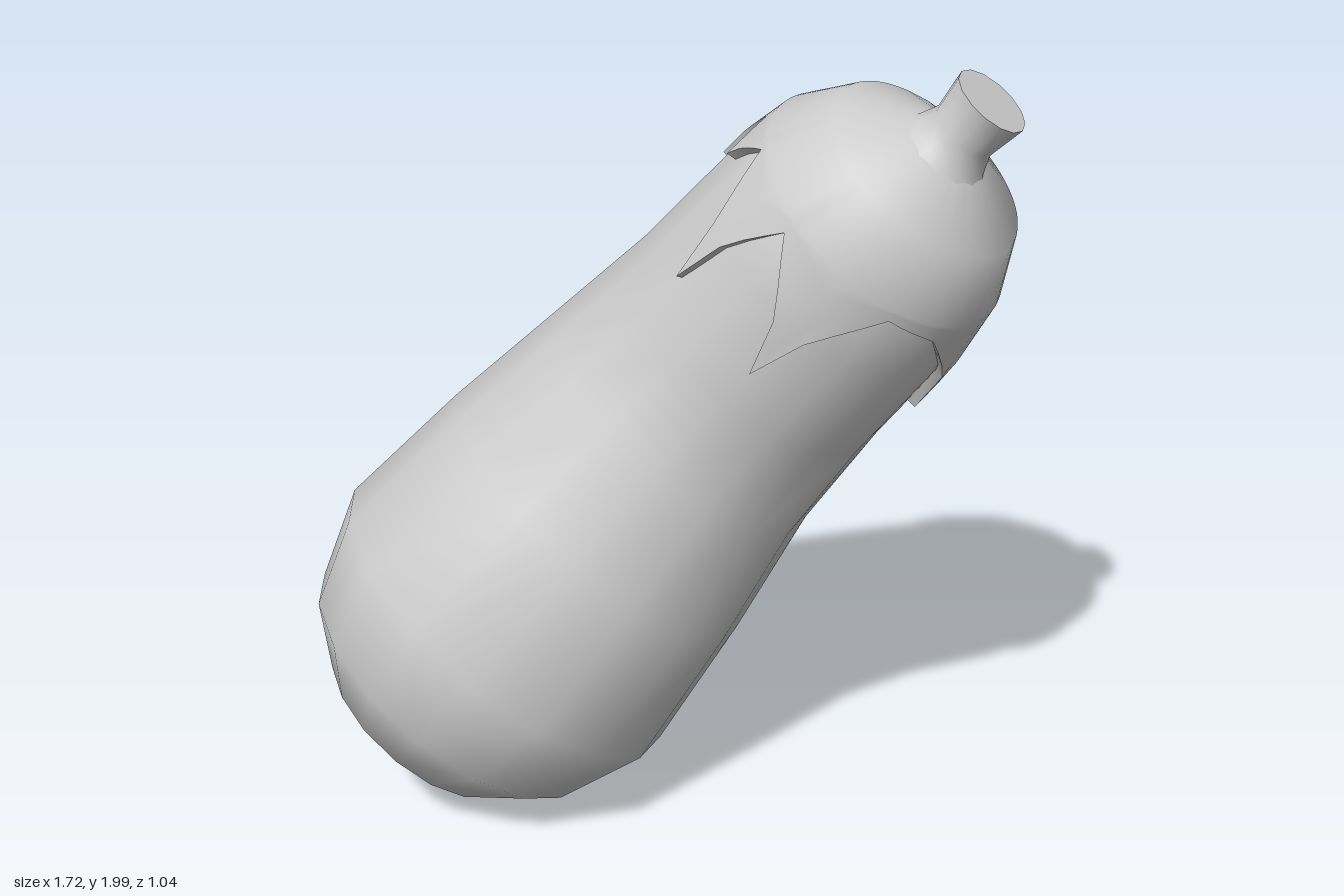
import * as THREE from 'three';
import { toCreasedNormals } from 'three/addons/utils/BufferGeometryUtils.js';

// Cross-sections along the bent spine: x, y, z, radius
const RINGS = [
  [-0.66, 0.13, 0.10, 0.01], [-0.61, 0.19, 0.09, 0.285], [-0.525, 0.30, 0.06, 0.43],
  [-0.38, 0.485, 0.02, 0.51], [-0.16, 0.77, -0.06, 0.465], [0.05, 1.04, -0.12, 0.405],
  [0.25, 1.28, -0.10, 0.37], [0.44, 1.52, -0.04, 0.355], [0.55, 1.66, 0.0, 0.32],
  [0.64, 1.77, 0.03, 0.24], [0.69, 1.84, 0.045, 0.07],
];
const LAST = RINGS.length - 1;

// Jagged calyx edge: angle in degrees, position along the spine in rings
const EDGE = [
  [9, 6.52], [42, 7.75], [66, 7.85], [91, 6.45], [118, 7.8], [135, 6.45],
  [156, 7.9], [171, 7.25], [182, 7.8], [197, 6.8], [211, 7.8], [240, 6.6],
  [290, 7.9], [320, 6.68], [341, 7.9], [369, 6.52],
];

const curve = new THREE.CatmullRomCurve3(RINGS.map(([x, y, z]) => new THREE.Vector3(x, y, z)));
const FRAMES = RINGS.map(([, , , r], i) => {
  const t = curve.getTangent(i / LAST);
  const side = new THREE.Vector3().crossVectors(t, new THREE.Vector3(0, 0, 1)).normalize();
  const front = new THREE.Vector3().crossVectors(side, t);
  return { c: curve.getPoint(i / LAST), side, front, r };
});

// Point on the skin at ring position u and angle a, raised by lift
function skin(u, a, lift = 0) {
  const i = Math.min(Math.floor(u), LAST - 1);
  const at = ({ c, side, front, r }) => c.clone()
    .addScaledVector(side, (r + lift) * Math.cos(a))
    .addScaledVector(front, (r + lift) * Math.sin(a));
  return at(FRAMES[i]).lerp(at(FRAMES[i + 1]), u - i);
}

// Closed tube of quads from rows of points running up the spine
function loft(rows) {
  const n = rows[0].length;
  const index = [];
  for (let i = 0; i < rows.length - 1; i++) {
    for (let j = 0; j < n; j++) {
      const k = (j + 1) % n;
      const a = i * n + j, b = i * n + k, c = a + n, d = b + n;
      index.push(a, c, b, b, c, d);
    }
  }
  const geo = new THREE.BufferGeometry().setFromPoints(rows.flat());
  geo.setIndex(index);
  geo.computeVertexNormals();
  return geo;
}

export function createModel() {
  const group = new THREE.Group();
  group.name = 'eggplant';
  const mat = new THREE.MeshStandardMaterial({ color: 0xcccccc });
  const leafMat = new THREE.MeshStandardMaterial({ color: 0xcccccc, side: THREE.DoubleSide });
  const add = (name, geo, m) => {
    const mesh = new THREE.Mesh(geo, m);
    mesh.name = name;
    group.add(mesh);
    return mesh;
  };

  // Fruit body
  const SIDES = 16;
  add('body', loft(RINGS.map((_, i) =>
    Array.from({ length: SIDES }, (_, j) => skin(i, (j / SIDES) * Math.PI * 2)))), mat);

  // Pointed calyx leaves hugging the top
  const columns = [];
  const STEPS = 4;
  for (let e = 0; e < EDGE.length - 1; e++) {
    const [a0, u0] = EDGE[e], [a1, u1] = EDGE[e + 1];
    for (let s = 0; s < STEPS; s++) {
      const f = s / STEPS;
      // Concave sides make the leaf tips slender
      const g = u1 > u0 ? f ** 0.7 : 1 - (1 - f) ** 0.7;
      columns.push([THREE.MathUtils.degToRad(a0 + (a1 - a0) * f), u0 + (u1 - u0) * g]);
    }
  }
  // Rim, leaves up to the shoulder ring, then the shoulder itself
  const ROWS = 5;
  const rows = [columns.map(([a, u]) => skin(u, a, -0.01))];
  for (let k = 0; k <= ROWS; k++) {
    rows.push(columns.map(([a, u]) => skin(u + (8 - u) * (k / ROWS), a, 0.018)));
  }
  for (const u of [9, LAST]) rows.push(columns.map(([a]) => skin(u, a, 0.018)));
  add('calyx', toCreasedNormals(loft(rows), 0.9), leafMat);

  // Short stem with a flared foot
  const from = new THREE.Vector3(0.665, 1.8, 0.043);
  const dir = new THREE.Vector3(0.777, 1.945, 0.068).sub(from);
  const h = dir.length();
  const profile = [[0.14, 0.0], [0.098, 0.045], [0.08, 0.09], [0.094, h], [0, h]]
    .map(([r, y]) => new THREE.Vector2(r, y));
  const stem = add('stem', toCreasedNormals(new THREE.LatheGeometry(profile, 14), 0.8), mat);
  stem.position.copy(from);
  stem.quaternion.setFromUnitVectors(new THREE.Vector3(0, 1, 0), dir.normalize());

  return group;
}
